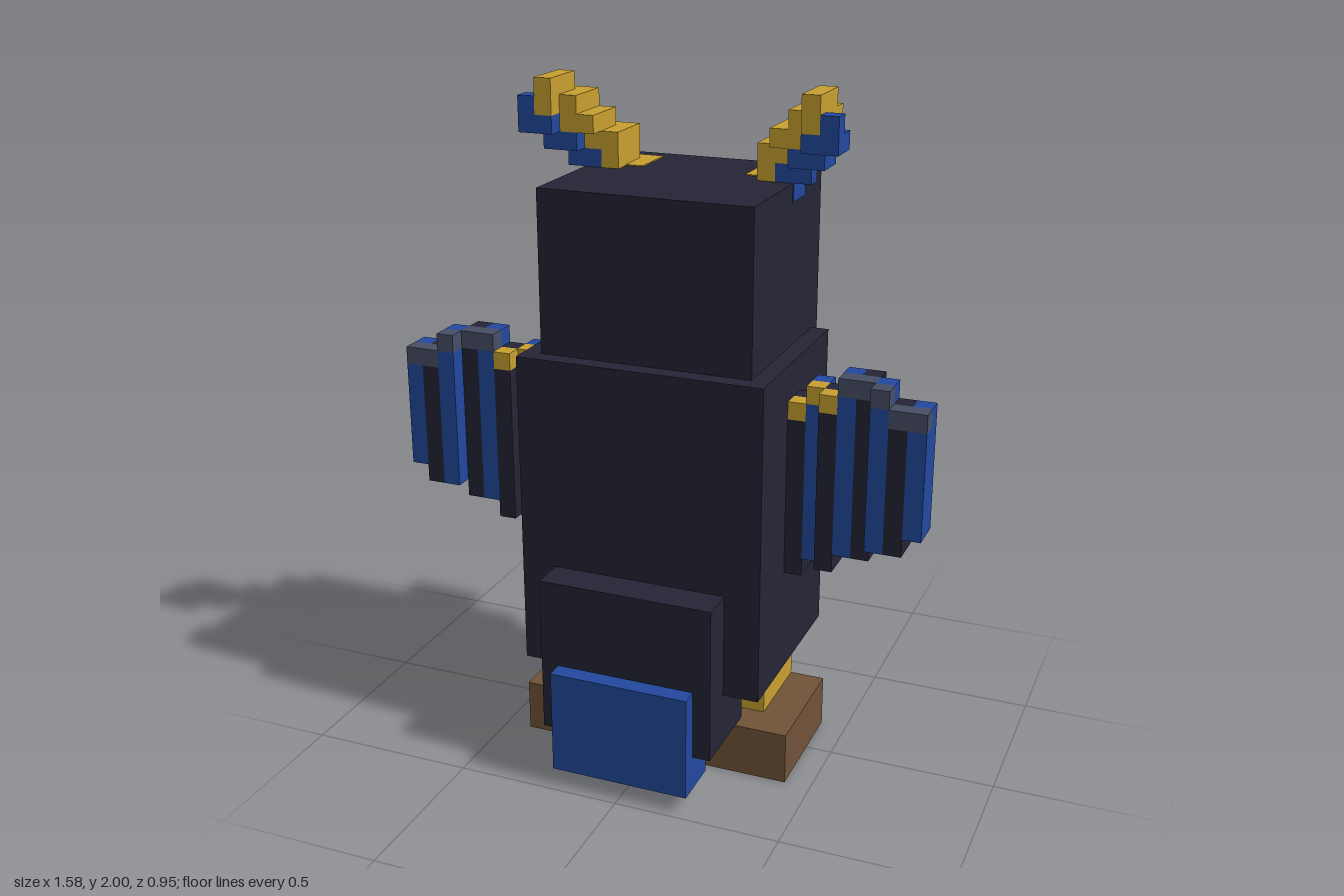
import * as THREE from 'three';

const U = 1 / 19; // one block unit

const mat = (name, color) => {
  const m = new THREE.MeshStandardMaterial({ color });
  m.name = name;
  return m;
};

export function createModel() {
  const root = new THREE.Group();
  root.name = 'owl';
  const dark = mat('dark navy', 0x242436);
  const blue = mat('blue', 0x22499e);
  const gold = mat('gold', 0xc8a030);
  const brown = mat('brown', 0x715338);
  const slate = mat('slate', 0x474e66);
  const grey = mat('pale grey', 0xb2b8c0);
  const red = mat('red', 0xa81d2b);

  // Box from its limits in block units
  const box = (name, m, x0, x1, y0, y1, z0, z1, parent = root) => {
    const g = new THREE.BoxGeometry((x1 - x0) * U, (y1 - y0) * U, (z1 - z0) * U);
    const mesh = new THREE.Mesh(g, m);
    mesh.position.set((x0 + x1) * U / 2, (y0 + y1) * U / 2, (z0 + z1) * U / 2);
    mesh.name = name;
    parent.add(mesh);
    return mesh;
  };

  // Thin plate with rounded corners, lying against a face that looks to -z
  const plate = (name, m, x0, x1, y0, y1, z, r, thick = 0.004, parent = root) => {
    const w = (x1 - x0) * U / 2, h = (y1 - y0) * U / 2, c = r * U;
    const s = new THREE.Shape();
    s.moveTo(-w + c, -h);
    s.lineTo(w - c, -h); s.quadraticCurveTo(w, -h, w, -h + c);
    s.lineTo(w, h - c); s.quadraticCurveTo(w, h, w - c, h);
    s.lineTo(-w + c, h); s.quadraticCurveTo(-w, h, -w, h - c);
    s.lineTo(-w, -h + c); s.quadraticCurveTo(-w, -h, -w + c, -h);
    const g = new THREE.ExtrudeGeometry(s, { depth: thick, bevelEnabled: false, curveSegments: 4 });
    const mesh = new THREE.Mesh(g, m);
    mesh.position.set((x0 + x1) * U / 2, (y0 + y1) * U / 2, z * U - thick);
    mesh.name = name;
    parent.add(mesh);
    return mesh;
  };

  // Body, head, tail and perch
  box('perch', brown, -8, 8, 0, 3, -3, 4);
  box('body', dark, -7, 7, 6, 24, -5, 6);
  box('head', dark, -6, 6, 23, 33, -6, 5);
  box('tail', dark, -5, 5, 3, 12, 3, 8);
  box('tailTip', blue, -4, 4, 1, 7, 6, 9);
  box('belly', grey, -6, 6, 7, 23, -6, -5);
  box('face', grey, -5, 5, 24, 32, -7, -6);
  box('beak', gold, -1, 1, 24, 28, -9, -7);
  plate('collar', red, -5, 5, 21, 23, -6, 0.15);

  // Wing feathers, from the shoulder outwards: [bottom, top, z start, cap]
  const feathers = [
    [12, 22, 0, gold], [13, 23, 0, gold], [13, 23, 1, gold],
    [14, 24, 1, slate], [14, 24, 1, slate], [15, 24, 2, slate],
    [15, 23, 2, slate], [16, 23, 2, slate],
  ];
  // Ear tuft layers: [x0, x1, y, z0, z1], each one unit high
  const tuftGold = [
    [4, 5, 33, -4, -1], [4, 6, 34, -4, -1], [5, 7, 35, -3, 0],
    [6, 8, 36, -3, 0], [7, 8, 37, -2, 1], [7, 8, 36, 0, 1],
  ];
  const tuftBlue = [
    [5, 7, 33, -2, -1], [6, 8, 34, -2, 0], [7, 9, 35, -1, 1], [8, 9, 36, 0, 1],
  ];

  for (const s of [1, -1]) {
    const side = s > 0 ? 'left' : 'right';
    const group = (n) => {
      const g = new THREE.Group();
      g.name = side + n;
      root.add(g);
      return g;
    };
    // Box mirrored to the current side
    const mbox = (name, m, x0, x1, y0, y1, z0, z1, parent) =>
      s > 0 ? box(name, m, x0, x1, y0, y1, z0, z1, parent)
            : box(name, m, -x1, -x0, y0, y1, z0, z1, parent);
    const mplate = (name, m, x0, x1, y0, y1, z, r, thick, parent) =>
      s > 0 ? plate(name, m, x0, x1, y0, y1, z, r, thick, parent)
            : plate(name, m, -x1, -x0, y0, y1, z, r, thick, parent);

    const foot = group('Foot');
    mbox('foot', gold, 2, 6, 3, 5, -3, 2, foot);
    mbox('leg', gold, 2, 6, 5, 6, -2.9, 1.9, foot).scale.set(0.9, 1, 0.9);
    foot.remove(foot.children[1]);
    mplate('toes', gold, 2, 6, 1.9, 3.1, -3, 0.4, 0.004, foot);

    const eye = group('Eye');
    mplate('iris', gold, 1, 4, 26.2, 29.8, -7, 0.4, 0.004, eye);
    mplate('pupil', dark, 2, 3, 27, 29, -7, 0.4, 0.008, eye);

    const marks = group('BellyMarks');
    for (let i = 0; i < 4; i++)
      mplate('bellyMark', slate, 1.1, 4.9, 9.05 + i * 3, 9.95 + i * 3, -6, 0.4, 0.004, marks);

    const wing = group('Wing');
    feathers.forEach(([b, t, z, cap], i) => {
      const m = i % 2 ? blue : dark, x = 7 + i;
      mbox('featherFront', m, x, x + 1, b, t, z, z + 1, wing);
      mbox('featherBack', m, x, x + 1, b, t - 1, z + 1, z + 2, wing);
      mbox('featherCap', cap, x, x + 1, t - 1, t, z + 1, z + 2, wing);
    });

    const tuft = group('EarTuft');
    for (const [x0, x1, y, z0, z1] of tuftGold) mbox('tuftGold', gold, x0, x1, y, y + 1, z0, z1, tuft);
    for (const [x0, x1, y, z0, z1] of tuftBlue) mbox('tuftBlue', blue, x0, x1, y, y + 1, z0, z1, tuft);
    // Tuft roots showing flush on the head
    mbox('tuftRootTop', gold, 3, 5, 32.95, 33.06, -5, -2, tuft);
    mbox('tuftRootSide', blue, 5.95, 6.06, 32, 33, -3, -1, tuft);
  }
  return root;
}
